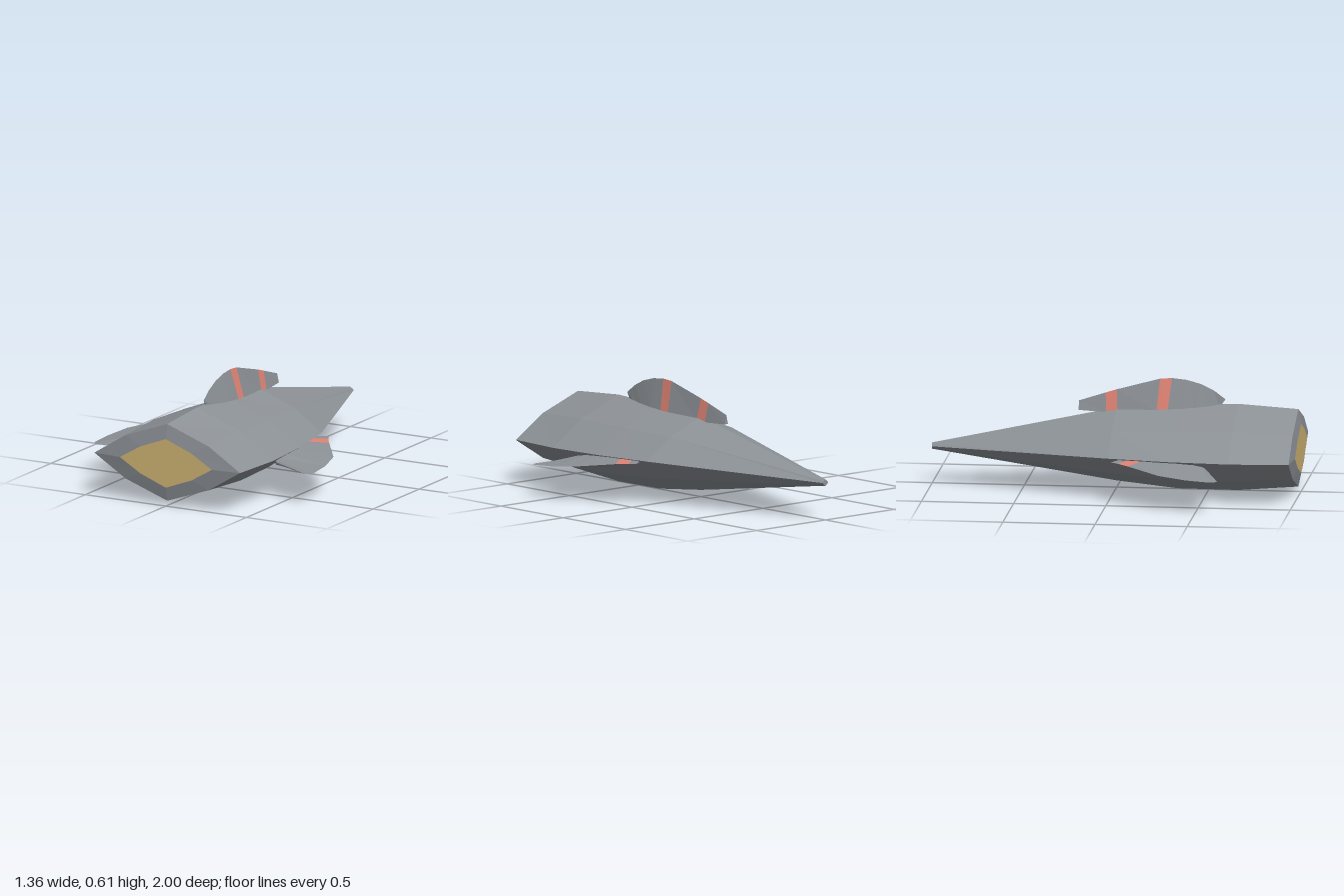
import * as THREE from 'three';

// Faceted skin through cross-section rings; rings run counter-clockwise seen from +z, ordered back to front
function loft(name, rings, material, capBack, capFront) {
  const pos = [];
  const tri = (a, b, c) => pos.push(...a, ...b, ...c);
  const n = rings[0].length;
  for (let i = 0; i < rings.length - 1; i++) {
    for (let j = 0; j < n; j++) {
      const k = (j + 1) % n, a = rings[i], b = rings[i + 1];
      tri(a[j], a[k], b[k]);
      tri(a[j], b[k], b[j]);
    }
  }
  const first = rings[0], last = rings[rings.length - 1];
  for (let j = 1; j < n - 1; j++) {
    if (capBack) tri(first[0], first[j + 1], first[j]);
    if (capFront) tri(last[0], last[j], last[j + 1]);
  }
  const geo = new THREE.BufferGeometry();
  geo.setAttribute('position', new THREE.Float32BufferAttribute(pos, 3));
  geo.computeVertexNormals();
  const mesh = new THREE.Mesh(geo, material);
  mesh.name = name;
  return mesh;
}

// Eight-sided, nearly diamond-shaped hull section
function section(z, halfWidth, top, middle, bottom, k = 0.57) {
  const up = top - middle, down = bottom - middle;
  return [[0, 1], [-k, k], [-1, 0], [-k, -k], [0, -1], [k, -k], [1, 0], [k, k]]
    .map(([x, y]) => [x * halfWidth, middle + (y > 0 ? y * up : -y * down), z]);
}

// Fin made of consecutive segments, some of them painted bands
function fin(name, rings, bands, base, band) {
  const group = new THREE.Group();
  group.name = name;
  const last = rings.length - 2;
  for (let i = 0; i <= last; i++) {
    const painted = bands.includes(i);
    group.add(loft(painted ? 'finBand' : 'finPanel', [rings[i], rings[i + 1]],
      painted ? band : base, i === 0, i === last));
  }
  return group;
}

export function createModel() {
  const model = new THREE.Group();
  const paint = (name, color) => {
    const m = new THREE.MeshStandardMaterial({ color });
    m.name = name;
    return m;
  };
  const grey = paint('hull grey', 0x8c9196);
  const sand = paint('sand yellow', 0xd2b675);
  const coral = paint('coral red', 0xde8374);

  // Hull, from the pointed end to the blunt end
  const patchRing = section(1, 0.285, 0.375, 0.24, 0.105, 0.555);
  model.add(loft('hull', [
    section(-1, 0.02, 0.225, 0.207, 0.19),
    section(0, 0.395, 0.442, 0.24, 0.04),
    section(0.33, 0.45, 0.462, 0.24, 0.005),
    section(0.66, 0.475, 0.477, 0.24, 0.003),
    section(0.985, 0.452, 0.456, 0.24, 0.03),
    patchRing,
  ], grey, true, false));

  // Yellow panel on the blunt end
  model.add(loft('endPanel', [patchRing, patchRing], sand, false, true));

  // Top fin: ridge z, ridge y, base z, base y, half width
  const topRings = [
    [-0.205, 0.475, -0.205, 0.425, 0.012],
    [-0.06, 0.522, -0.055, 0.418, 0.021],
    [0, 0.541, 0.007, 0.42, 0.025],
    [0.235, 0.605, 0.22, 0.43, 0.041],
    [0.3, 0.61, 0.28, 0.435, 0.042],
    [0.38, 0.602, 0.36, 0.44, 0.039],
    [0.46, 0.58, 0.43, 0.44, 0.033],
    [0.53, 0.545, 0.5, 0.445, 0.022],
    [0.59, 0.5, 0.555, 0.45, 0.006],
  ].map(([rz, ry, bz, by, w]) => [[0, ry, rz], [-w, by, bz], [w, by, bz]]);
  model.add(fin('topFin', topRings, [1, 3], grey, coral));

  // Side fins: edge x, y, z, then root x, y, z and half thickness
  const sideRings = [
    [0.45, 0.232, 0.02, 0.33, 0.226, 0.11, 0.012],
    [0.47, 0.229, 0.06, 0.337, 0.222, 0.155, 0.018],
    [0.51, 0.224, 0.12, 0.345, 0.215, 0.235, 0.028],
    [0.64, 0.203, 0.3, 0.36, 0.202, 0.36, 0.042],
    [0.675, 0.189, 0.45, 0.38, 0.198, 0.44, 0.036],
    [0.68, 0.181, 0.58, 0.4, 0.195, 0.505, 0.02],
    [0.67, 0.18, 0.605, 0.41, 0.194, 0.525, 0.01],
    [0.645, 0.18, 0.62, 0.42, 0.193, 0.535, 0.004],
  ].map(([x, y, z, rx, ry, rz, t]) => [[x, y, z], [rx, ry + t, rz], [rx, ry - t, rz]]);
  const mirrored = sideRings.map(r => r.map(([x, y, z]) => [-x, y, z]).reverse());
  model.add(fin('leftFin', sideRings, [1], grey, coral));
  model.add(fin('rightFin', mirrored, [1], grey, coral));

  return model;
}
